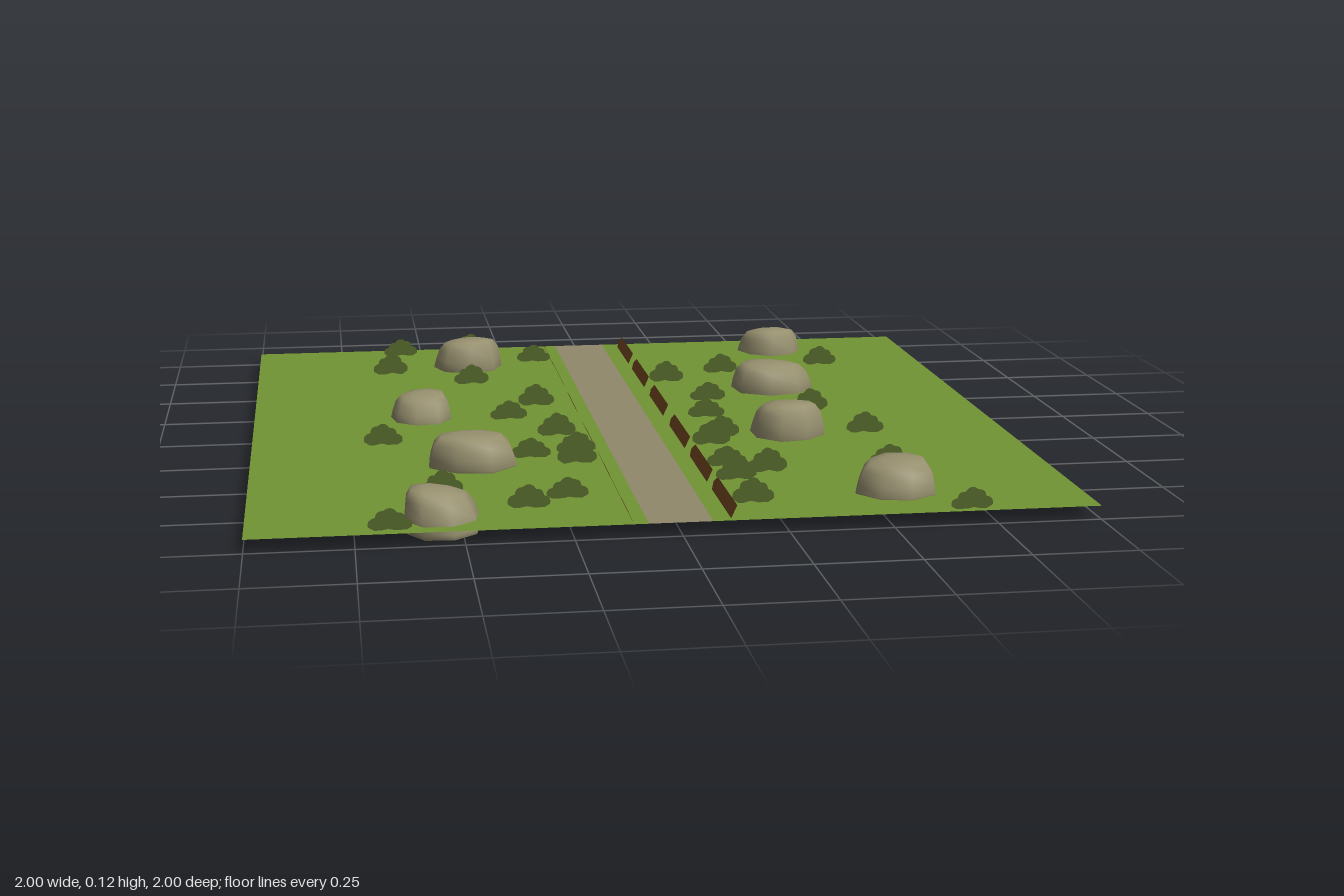
import * as THREE from 'three';
import { mergeVertices } from 'three/addons/utils/BufferGeometryUtils.js';

const GROUND = 0.037;

function material(name, color, side = THREE.DoubleSide) {
  const m = new THREE.MeshStandardMaterial({ color, side });
  m.name = name;
  return m;
}

export function createModel() {
  const model = new THREE.Group();
  const grass = material('grass green', 0x729534);
  const dirt = material('path grey brown', 0x91896b);
  const stone = material('stone', 0x989170);
  const leaf = material('bush green', 0x53672a);
  const wood = material('fence brown', 0x774a20);

  function add(name, geometry, mat, parent = model) {
    const mesh = new THREE.Mesh(geometry, mat);
    mesh.name = name;
    parent.add(mesh);
    return mesh;
  }

  function group(name) {
    const g = new THREE.Group();
    g.name = name;
    model.add(g);
    return g;
  }

  // Flat ground in three strips: grass, path, grass
  function strip(name, x0, x1, mat) {
    const g = new THREE.PlaneGeometry(x1 - x0, 2).rotateX(-Math.PI / 2);
    add(name, g, mat).position.set((x0 + x1) / 2, GROUND, 0);
  }
  strip('grassRight', -1, -0.08, grass);
  strip('path', -0.08, 0.07, dirt);
  strip('grassLeft', 0.07, 1, grass);

  // Boulders: hollow eight-sided domes with uneven outlines and leaning tops
  const profile = [[0.94, 0], [1, 0.12], [0.95, 0.4], [0.86, 0.72], [0.7, 0.93], [0.36, 1], [0, 1.01]]
    .map(([r, y]) => new THREE.Vector2(r, y));
  function boulder(radius, height, leanX, leanZ, turn) {
    let g = new THREE.LatheGeometry(profile, 8, turn);
    g.deleteAttribute('uv');
    g.deleteAttribute('normal');
    const p = g.attributes.position;
    for (let i = 0; i < p.count; i++) {
      const x = p.getX(i), y = p.getY(i), z = p.getZ(i);
      const a = Math.atan2(z, x);
      const r = radius * (1 + 0.04 * Math.sin(3 * a + turn * 5));
      const tilt = 1 + (leanX * x + leanZ * z) * 0.9;
      p.setXYZ(i, x * r + leanX * y * radius, y * height * tilt, z * r + leanZ * y * radius);
    }
    g = mergeVertices(g, 1e-5);
    g.computeVertexNormals();
    return g;
  }
  // x, z, radius, bottom, top, leanX, leanZ
  const boulders = [
    [-0.375, -0.74, 0.102, 0.028, 0.125, 0.05, 0.1],
    [0.58, -0.855, 0.1, 0.004, 0.108, 0.02, 0.13],
    [0.48, -0.34, 0.118, 0.026, 0.115, -0.05, 0.08],
    [-0.545, -0.09, 0.084, 0.03, 0.108, 0.05, -0.08],
    [0.41, 0.205, 0.1, 0.028, 0.125, 0.03, 0.1],
    [-0.44, 0.4, 0.118, 0.03, 0.118, -0.03, 0.12],
    [-0.545, 0.875, 0.095, 0.004, 0.108, -0.13, 0.02],
    [0.55, 0.8, 0.1, 0.03, 0.118, 0.06, -0.02],
  ];
  const rocks = group('boulders');
  boulders.forEach(([x, z, r, bottom, top, lx, lz], i) => {
    add('boulder', boulder(r, top - bottom, lx, lz, i * 0.7), stone, rocks).position.set(x, bottom, z);
  });

  // Fence rails: thin leaning boards along the path, pointed at the back end
  function rail(side) {
    const s = new THREE.Shape();
    s.moveTo(-0.133, 0);
    s.lineTo(0.115, 0);
    s.lineTo(0.135, 0.018);
    s.lineTo(0.115, 0.034);
    s.lineTo(-0.133, 0.034);
    const g = new THREE.ShapeGeometry(s).rotateY(Math.PI / 2);
    const p = g.attributes.position;
    for (let i = 0; i < p.count; i++) p.setX(i, side * (0.113 + p.getY(i) * 0.45));
    g.computeVertexNormals();
    return g;
  }
  const fence = group('fence');
  for (const side of [-1, 1]) {
    for (const z of [-0.84, -0.515, -0.16, 0.2, 0.53, 0.85]) {
      add('fenceRail', rail(side), wood, fence).position.set(0, 0.034, z);
    }
  }

  // Bushes: flat upright cut-outs with a lobed outline
  const outline = new THREE.Shape();
  outline.moveTo(-0.03, 0);
  outline.lineTo(-0.05, 0.012);
  outline.quadraticCurveTo(-0.055, 0.03, -0.036, 0.034);
  outline.quadraticCurveTo(-0.034, 0.052, -0.018, 0.05);
  outline.quadraticCurveTo(-0.004, 0.072, 0.014, 0.056);
  outline.quadraticCurveTo(0.032, 0.056, 0.033, 0.038);
  outline.quadraticCurveTo(0.053, 0.034, 0.05, 0.014);
  outline.lineTo(0.032, 0.002);
  outline.lineTo(0.004, 0.008);
  const bushGeometry = new THREE.ShapeGeometry(outline, 4);
  const bushSpots = [
    [-0.57, -0.92], [-0.35, -0.95], [-0.61, -0.66], [-0.17, -0.78], [-0.38, -0.5], [-0.22, -0.2],
    [-0.31, -0.05], [-0.66, 0.19], [-0.2, 0.15], [-0.29, 0.37], [-0.17, 0.34], [-0.18, 0.44],
    [-0.24, 0.76], [-0.34, 0.83], [-0.535, 0.69], [-0.67, 0.97],
    [0.37, -0.55], [0.19, -0.45], [0.27, -0.2], [0.69, -0.62], [0.53, -0.04], [0.23, 0], [0.23, 0.22],
    [0.19, 0.3], [0.6, 0.56], [0.62, 0.23], [0.28, 0.59], [0.19, 0.52], [0.19, 0.65], [0.19, 0.86],
    [0.69, 0.98],
  ];
  const bushes = group('bushes');
  bushSpots.forEach(([x, z], i) => {
    const bush = add('bush', bushGeometry, leaf, bushes);
    bush.position.set(x, 0.033, z);
    bush.scale.set(i % 2 ? -1 : 1, 0.9 + (i % 3) * 0.08, 1);
  });

  return model;
}
